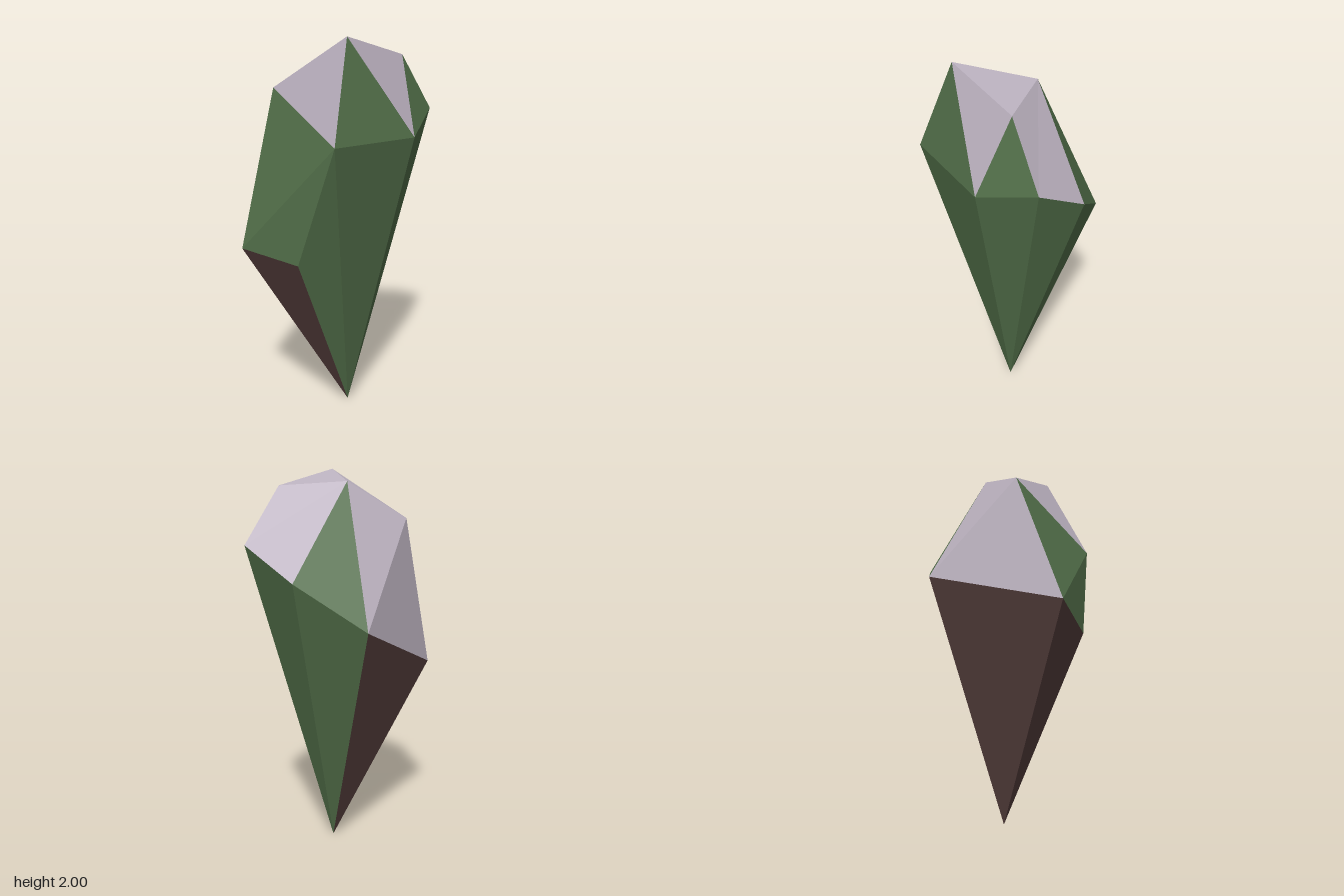
import * as THREE from 'three';

// Corners of the faceted shard
const P = {
  tip: [0.02, 0, 0],
  // belt ring
  frontRight: [-0.36, 0.955, 0.42],
  frontLow: [-0.01, 0.925, 0.437],
  frontLeft: [0.2, 1.52, 0.44],
  left: [0.355, 1.51, -0.08],
  backLeft: [0.295, 1.62, -0.4],
  back: [0.005, 1.45, -0.44],
  backRight: [-0.32, 1.22, -0.295],
  // crown
  crownRight: [-0.31, 1.745, 0.18],
  crownPeak: [0.147, 2, 0.235],
  crownLeft: [0.225, 1.905, -0.19],
  crownBack: [-0.095, 1.925, -0.07],
};

function material(name, color) {
  const m = new THREE.MeshStandardMaterial({ color, flatShading: true });
  m.name = name;
  return m;
}

// Flat triangles, each turned to face away from the middle of the shard
function facets(name, mat, triangles) {
  const centre = new THREE.Vector3(0, 1.25, 0);
  const points = [];
  for (const corners of triangles) {
    const [a, b, c] = corners.map((k) => new THREE.Vector3(...P[k]));
    const normal = b.clone().sub(a).cross(c.clone().sub(a));
    const outward = normal.dot(a.clone().sub(centre)) > 0;
    points.push(...(outward ? [a, b, c] : [a, c, b]));
  }
  const geometry = new THREE.BufferGeometry().setFromPoints(points);
  geometry.computeVertexNormals();
  const mesh = new THREE.Mesh(geometry, mat);
  mesh.name = name;
  return mesh;
}

export function createModel() {
  const stone = material('pale stone', 0xbcb2c0);
  const moss = material('moss green', 0x53704a);
  const earth = material('earth brown', 0x5a4240);
  const group = new THREE.Group();
  group.name = 'floatingRock';

  // Long sides running down to the tip
  const belt = ['frontLow', 'frontLeft', 'left', 'backLeft', 'back', 'backRight'];
  const sides = belt.slice(1).map((k, i) => [belt[i], k, 'tip']);
  group.add(facets('lowerSides', moss, sides));
  group.add(facets('earthSides', earth, [
    ['frontRight', 'frontLow', 'tip'],
    ['backRight', 'frontRight', 'tip'],
  ]));

  // Green facets rising above the belt
  group.add(facets('upperGreenFacets', moss, [
    ['frontRight', 'frontLow', 'frontLeft'],
    ['frontRight', 'frontLeft', 'crownRight'],
    ['frontLeft', 'left', 'crownPeak'],
    ['left', 'backLeft', 'crownLeft'],
    ['back', 'backRight', 'crownBack'],
  ]));

  // Pale crown
  group.add(facets('crown', stone, [
    ['crownRight', 'crownPeak', 'crownBack'],
    ['crownPeak', 'crownLeft', 'crownBack'],
    ['crownLeft', 'backLeft', 'crownBack'],
    ['backLeft', 'back', 'crownBack'],
    ['backRight', 'crownRight', 'crownBack'],
    ['backRight', 'frontRight', 'crownRight'],
    ['crownRight', 'frontLeft', 'crownPeak'],
    ['crownPeak', 'left', 'crownLeft'],
  ]));
  return group;
}
